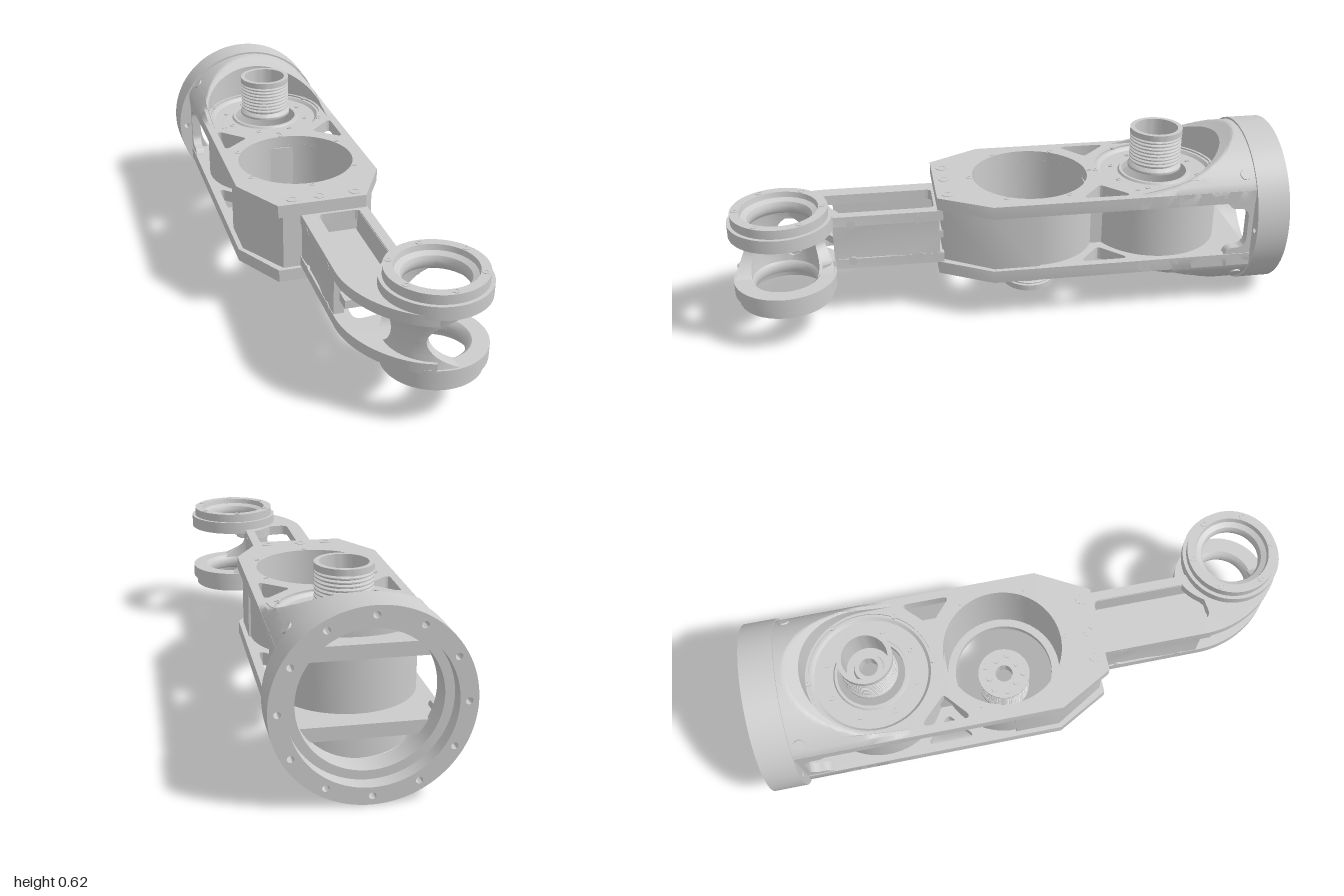
import * as THREE from 'three';
import { toCreasedNormals } from 'three/addons/utils/BufferGeometryUtils.js';

const material = new THREE.MeshStandardMaterial({ color: 0xcccccc, side: THREE.DoubleSide });
const CX = -0.035, CY = 0.312;          // long axis of the housing
const CUP_A = -0.57, CUP_B = -0.09;     // z of the two joint cups
const EYE = { x: 0.163, z: 0.82 };      // axis of the fork

function add(parent, name, geometry, x = 0, y = 0, z = 0) {
  const mesh = new THREE.Mesh(toCreasedNormals(geometry, 0.6), material);
  mesh.name = name;
  mesh.position.set(x, y, z);
  parent.add(mesh);
  return mesh;
}

function group(parent, name, x = 0, y = 0, z = 0) {
  const g = new THREE.Group();
  g.name = name;
  g.position.set(x, y, z);
  parent.add(g);
  return g;
}

const polygon = (pts) => new THREE.Shape(pts.map(([x, y]) => new THREE.Vector2(x, y)));
const lathe = (pts) => new THREE.LatheGeometry(pts.map(([r, y]) => new THREE.Vector2(r, y)), 64);
const circle = (x, y, r) => new THREE.Path().absarc(x, y, r, 0, Math.PI * 2, true);

// Extrudes a plan drawn in x and z between two heights
function slab(shape, y0, y1) {
  const g = new THREE.ExtrudeGeometry(shape, { depth: y1 - y0, bevelEnabled: false, curveSegments: 40 });
  return g.rotateX(Math.PI / 2).translate(0, y1, 0);
}

// Flat ring facing along z
function ringZ(rOut, rIn, z0, z1, holes = 0, rHoles = 0) {
  const s = new THREE.Shape().absarc(0, 0, rOut, 0, Math.PI * 2);
  s.holes.push(circle(0, 0, rIn));
  for (let i = 0; i < holes; i++) {
    const a = (i / holes) * Math.PI * 2;
    s.holes.push(circle(Math.cos(a) * rHoles, Math.sin(a) * rHoles, 0.011));
  }
  return new THREE.ExtrudeGeometry(s, { depth: z1 - z0, bevelEnabled: false, curveSegments: 48 }).translate(0, 0, z0);
}

// Skins equal loops; each loop is an outer run followed by the inner run back
function loft(loops) {
  const m = loops[0].length, index = [];
  for (let i = 0; i < loops.length - 1; i++) {
    for (let j = 0; j < m; j++) {
      const a = i * m + j, c = i * m + (j + 1) % m;
      index.push(a, a + m, c, c, a + m, c + m);
    }
  }
  const last = (loops.length - 1) * m;
  for (let j = 0; j < m / 2 - 1; j++) {
    const a = j, b = j + 1, d = m - 1 - j, e = m - 2 - j;
    index.push(a, b, d, b, e, d);
    index.push(last + a, last + d, last + b, last + b, last + d, last + e);
  }
  const g = new THREE.BufferGeometry();
  g.setAttribute('position', new THREE.Float32BufferAttribute(loops.flat(2), 3));
  g.setIndex(index);
  return g;
}

// Circle of nearly flush socket bolts around a vertical axis
function bolts(parent, count, radius, x, y, z, size = 0.012) {
  for (let i = 0; i < count; i++) {
    const a = ((i + 0.5) / count) * Math.PI * 2;
    add(parent, 'bolt', lathe([[0, -0.01], [size, -0.01], [size, 0.002], [size * 0.55, 0.002], [size * 0.55, 0.0005], [0, 0.0005]]),
      x + Math.cos(a) * radius, y, z + Math.sin(a) * radius);
  }
}

// Scooped shoulder rising from the plate to the round flange, walled around the cup
function shoulder() {
  const columns = [[-0.265, 0], [-0.25, 0], [-0.236, 0]];
  for (let i = 0; i <= 28; i++) columns.push([-0.235 * Math.cos((i / 28) * Math.PI), 1]);
  columns.push([0.236, 0], [0.25, 0], [0.265, 0]);
  const n = 18;
  return loft(columns.map(([x, cut]) => {
    const z0 = cut ? CUP_A - Math.sqrt(Math.max(0, 0.235 ** 2 - x * x)) : -0.45;
    const outer = [], inner = [];
    for (let j = 0; j <= n; j++) {
      const z = z0 + (-0.885 - z0) * (j / n), d = Math.max(0, -0.45 - z);
      const scoop = 0.15 + 0.1 * d + 0.7 * d * d;
      const under = Math.min(scoop - 0.04, Math.sqrt(Math.max(0, 0.265 ** 2 - x * x)));
      outer.push([x, Math.min(scoop, Math.sqrt(0.305 ** 2 - x * x)), z]);
      inner.unshift([x, j < 5 ? 0.105 : Math.max(0.105, under), z]);
    }
    return [...outer, ...inner];
  }));
}

// Side plate with cup openings and triangular windows
function plate() {
  const s = polygon([[-0.265, -0.885], [0.265, -0.885], [0.265, 0.08], [0.16, 0.27], [-0.16, 0.27], [-0.265, 0.08]]);
  s.holes.push(circle(0, CUP_A, 0.225), circle(0, CUP_B, 0.215));
  for (const k of [-1, 1]) {
    const t = new THREE.Path();
    t.moveTo(k * 0.235, -0.405).lineTo(k * 0.235, -0.265);
    t.quadraticCurveTo(k * 0.232, -0.248, k * 0.215, -0.26).lineTo(k * 0.145, -0.32);
    t.quadraticCurveTo(k * 0.135, -0.33, k * 0.145, -0.34).lineTo(k * 0.215, -0.41);
    t.quadraticCurveTo(k * 0.232, -0.422, k * 0.235, -0.405);
    s.holes.push(t);
  }
  return slab(s, 0.105, 0.152);
}

// Side bracket with a rounded window, between the plates and the flange
function sideBracket() {
  const s = new THREE.Shape();
  s.moveTo(-0.89, -0.11).lineTo(-0.78, -0.11);
  s.quadraticCurveTo(-0.79, -0.08, -0.815, -0.08).lineTo(-0.83, -0.08);
  s.quadraticCurveTo(-0.862, -0.075, -0.862, -0.04).lineTo(-0.862, 0.04);
  s.quadraticCurveTo(-0.862, 0.075, -0.83, 0.08).lineTo(-0.815, 0.08);
  s.quadraticCurveTo(-0.79, 0.08, -0.78, 0.11).lineTo(-0.89, 0.11);
  return new THREE.ExtrudeGeometry(s, { depth: 0.035, bevelEnabled: false, curveSegments: 8 })
    .translate(0, 0, -0.0175).rotateY(-Math.PI / 2);
}

// Hollow threaded connector, base at y = 0
function connector(parent, y0, z) {
  const g = group(parent, 'threadedConnector', 0, y0, z);
  const pts = [[0.033, 0], [0.1, 0], [0.1, 0.008], [0.097, 0.012], [0.086, 0.02]];
  for (let i = 0; i < 8; i++) {
    const y = 0.024 + i * 0.0134;
    pts.push([0.087, y], [0.096, y + 0.004], [0.096, y + 0.008], [0.087, y + 0.012]);
  }
  pts.push([0.097, 0.133], [0.097, 0.155], [0.08, 0.155], [0.08, 0.03], [0.055, 0.03], [0.05, 0.05], [0.033, 0.05], [0.033, 0]);
  add(g, 'threadedTube', lathe(pts));
  for (let i = 0; i < 9; i++) {
    const a = (i / 9) * Math.PI * 2, r = i % 2 ? 0.06 : 0.075;
    add(g, 'pin', new THREE.CylinderGeometry(0.011, 0.011, 0.01, 12), Math.cos(a) * r, 0, Math.sin(a) * r);
  }
}

function buildHousing(root) {
  const body = group(root, 'housing', CX, CY, 0);
  // Round mounting flange
  add(body, 'flangeRim', ringZ(0.312, 0.255, -1, -0.88, 12, 0.283));
  add(body, 'flangeLip', ringZ(0.26, 0.225, -0.95, -0.87));
  // Upper and lower halves
  for (const top of [true, false]) {
    const half = group(body, top ? 'upperHalf' : 'lowerHalf');
    if (!top) half.rotation.z = Math.PI;
    add(half, 'sidePlate', plate());
    add(half, 'shoulder', shoulder());
    bolts(half, 6, 0.228, 0, 0.152, CUP_A, 0.01);
    bolts(half, 6, 0.228, 0, 0.152, CUP_B, 0.01);
    for (const x of [-0.1, 0, 0.13]) bolts(half, 1, 0, top ? x : -x, 0.152, 0.23, 0.022);
    for (const k of [-1, 1]) {
      const b = add(half, 'shoulderBolt', new THREE.CylinderGeometry(0.02, 0.02, 0.03, 20), k * 0.222, 0.195, -0.845);
      b.rotation.z = Math.PI / 2 + k * 0.72;
    }
    connector(half, top ? 0.158 : 0.143, top ? CUP_A : CUP_B);
    // Cup floor: narrow opening above, wide opening below
    const z = top ? CUP_A : CUP_B, r = top ? 0.122 : 0.185;
    add(half, 'cupFloor', lathe([[r, 0.115], [0.23, 0.115], [0.23, 0.146], [0.215, 0.146], [0.205, 0.135],
      [r + 0.015, 0.135], [r + 0.01, 0.142], [r, 0.142], [r, 0.115]]), 0, 0, z);
    if (top) bolts(half, 8, 0.165, 0, 0.136, z, 0.01);
  }
  // Cup walls, nose, waist and side brackets between the plates
  for (const z of [CUP_A, CUP_B]) {
    add(body, 'cupWall', lathe([[0.215, -0.115], [0.24, -0.115], [0.24, 0.115], [0.215, 0.115], [0.215, -0.115]]), 0, 0, z);
  }
  const nose = polygon([[0.216, CUP_B], [0.248, CUP_B], [0.248, 0.075], [0.14, 0.255], [-0.14, 0.255], [-0.248, 0.075], [-0.248, CUP_B], [-0.216, CUP_B]]);
  nose.absarc(0, CUP_B, 0.216, Math.PI, 0, true);
  add(body, 'nose', slab(nose, -0.106, 0.106));
  add(body, 'waist', new THREE.BoxGeometry(0.2, 0.21, 0.06), 0, 0, -0.33);
  for (const k of [-1, 1]) {
    const bracket = group(body, 'sideBracket', k * 0.245);
    add(bracket, 'windowFrame', sideBracket()).rotation.y = Math.PI;
    bracket.children[0].rotation.y = 0;
    bracket.children[0].geometry.computeBoundingBox();
    if (bracket.children[0].geometry.boundingBox.max.z > 0) bracket.children[0].rotation.y = Math.PI;
  }
}

function buildArm(root) {
  const arm = group(root, 'arm', 0, CY, 0);
  // Flanges sweeping around the fork, with a rounded pocket
  const s = new THREE.Shape();
  s.moveTo(0.13, 0.25).lineTo(0.13, 0.64);
  s.quadraticCurveTo(0.135, 0.655, 0.15, 0.66).lineTo(0.163, 0.69);
  s.absarc(EYE.x, EYE.z, 0.13, -Math.PI / 2, -Math.PI * 1.4, true);
  s.lineTo(0.11, 0.99);
  s.bezierCurveTo(-0.02, 0.95, -0.112, 0.8, -0.112, 0.66);
  s.lineTo(-0.112, 0.25);
  const p = new THREE.Path();
  p.moveTo(-0.035, 0.28).lineTo(0.075, 0.28).quadraticCurveTo(0.095, 0.28, 0.095, 0.3);
  p.lineTo(0.095, 0.62).quadraticCurveTo(0.05, 0.64, 0.02, 0.685).lineTo(-0.025, 0.69);
  p.quadraticCurveTo(-0.055, 0.69, -0.055, 0.66).lineTo(-0.055, 0.3).quadraticCurveTo(-0.055, 0.28, -0.035, 0.28);
  s.holes.push(p);
  for (const y of [-0.104, 0.066]) add(arm, 'armFlange', slab(s, y, y + 0.038));
  const web = polygon([[-0.09, 0.25], [0.11, 0.25], [0.11, 0.64], [0.03, 0.7], [-0.09, 0.7]]);
  add(arm, 'armWeb', slab(web, -0.015, 0.015));
  // Side walls with a shallow four-sided dish
  for (const k of [-1, 1]) {
    const wall = new THREE.BoxGeometry(0.036, 0.2, 0.38, 1, 2, 2), pos = wall.attributes.position;
    for (let i = 0; i < pos.count; i++) {
      if (pos.getX(i) * k > 0 && pos.getY(i) === 0 && pos.getZ(i) === 0) pos.setX(i, k * 0.002);
    }
    add(arm, 'armWall', wall, k > 0 ? 0.111 : -0.092, 0, 0.455);
    for (const y of [-0.075, 0.075]) {
      for (const z of [0.34, 0.58]) {
        const b = add(arm, 'armBolt', new THREE.CylinderGeometry(0.016, 0.016, 0.02, 18), k > 0 ? 0.121 : -0.103, y, z);
        b.rotation.z = Math.PI / 2;
      }
    }
  }
}

function buildFork(root) {
  const fork = group(root, 'fork', EYE.x, CY, EYE.z);
  // Two stepped eyes
  for (const top of [true, false]) {
    const eye = group(fork, top ? 'upperEye' : 'lowerEye');
    if (!top) eye.rotation.x = Math.PI;
    add(eye, 'eyeRing', lathe([[0.106, 0.115], [0.112, 0.1], [0.124, 0.09], [0.18, 0.09], [0.18, 0.138], [0.167, 0.138], [0.167, 0.171],
      [0.135, 0.171], [0.131, 0.152], [0.112, 0.143], [0.106, 0.13], [0.106, 0.115]]));
    bolts(eye, 6, 0.15, 0, 0.171, 0, 0.012);
  }
  // Saddle columns joining the eyes around a window
  for (const k of [-1, 1]) {
    const loops = [];
    for (let i = 0; i <= 20; i++) {
      const t = -1 + i / 10, w = 0.45 * Math.sqrt(Math.max(0, 1 - (t / 0.75) ** 2));
      const edge = 1.05 + 0.8 * t * t, outer = [], inner = [];
      const hi = k > 0 ? edge : -0.2 - w, lo = k > 0 ? -0.2 + w : -edge;
      for (let j = 0; j <= 14; j++) {
        const a = hi + (lo - hi) * (j / 14), c = Math.cos(a), n = Math.sin(a);
        const ro = 0.162 + 0.014 * t * t, ri = 0.125 - 0.01 * t * t;
        outer.push([-c * ro, t * 0.1, n * ro]);
        inner.unshift([-c * ri, t * 0.1, n * ri]);
      }
      loops.push([...outer, ...inner]);
    }
    add(fork, 'saddleColumn', loft(loops));
  }
}

export function createModel() {
  const root = new THREE.Group();
  root.name = 'jointedLink';
  buildHousing(root);
  buildArm(root);
  buildFork(root);
  return root;
}
